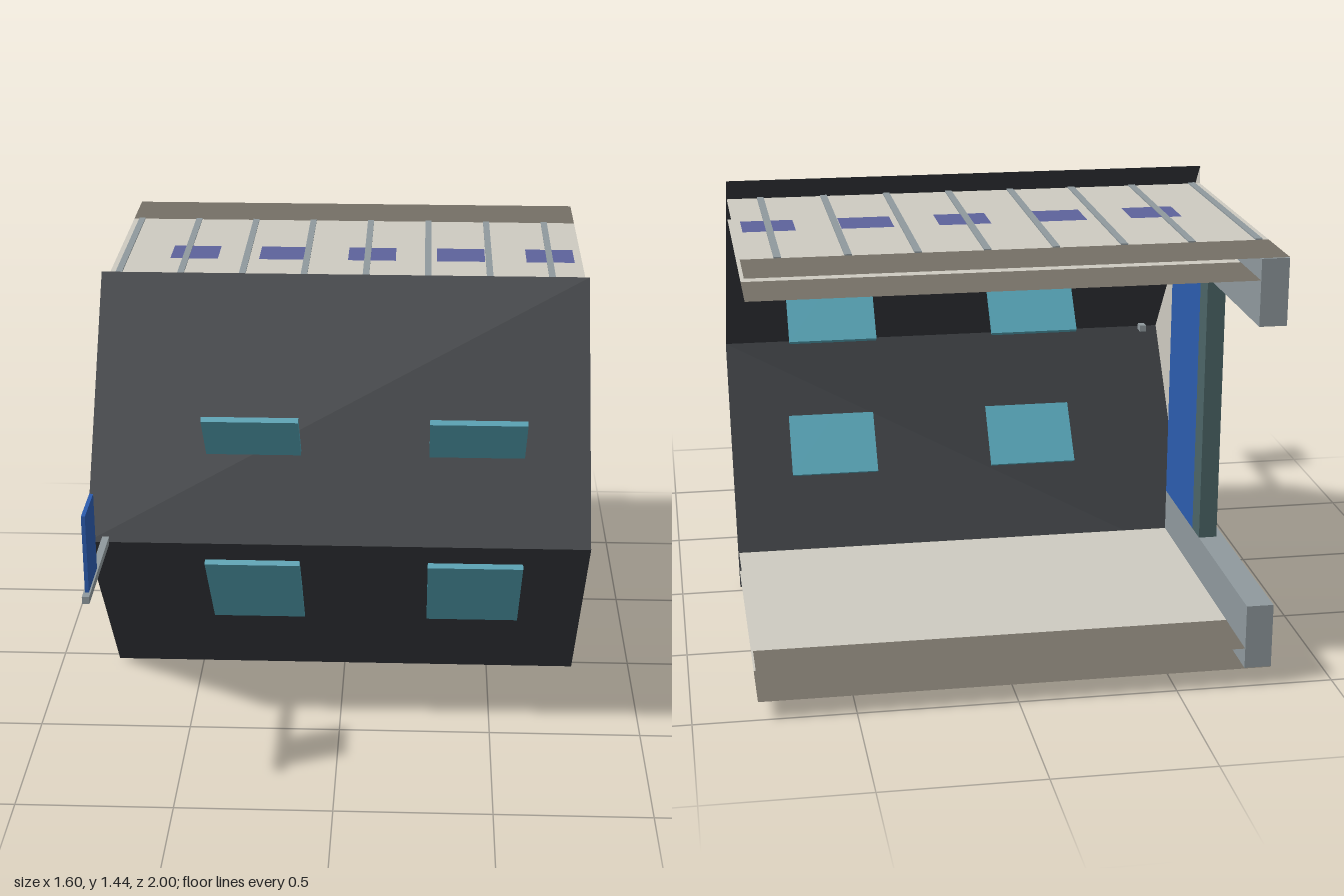
import * as THREE from 'three';

const mat = (color, side = THREE.FrontSide) => new THREE.MeshStandardMaterial({ color, side });
const wallMat = mat(0x34373b, THREE.DoubleSide);
const creamMat = mat(0xcdcac0, THREE.DoubleSide);
const brownMat = mat(0x746f65, THREE.DoubleSide);
const purpleMat = mat(0x5d629b, THREE.DoubleSide);
const steelMat = mat(0x8f999d);
const blueMat = mat(0x2c5cae);
const tealMat = mat(0x52a0b2);
const postMat = mat(0x4c6567);

// Box from minimum and maximum on each axis
function box(name, material, [x0, x1], [y0, y1], [z0, z1]) {
  const mesh = new THREE.Mesh(new THREE.BoxGeometry(x1 - x0, y1 - y0, z1 - z0), material);
  mesh.position.set((x0 + x1) / 2, (y0 + y1) / 2, (z0 + z1) / 2);
  mesh.name = name;
  return mesh;
}

// Thin horizontal sheet at height y
function sheet(name, material, [x0, x1], y, [z0, z1]) {
  const mesh = new THREE.Mesh(new THREE.PlaneGeometry(x1 - x0, z1 - z0).rotateX(-Math.PI / 2), material);
  mesh.position.set((x0 + x1) / 2, y, (z0 + z1) / 2);
  mesh.name = name;
  return mesh;
}

export function createModel() {
  const model = new THREE.Group();
  const halfW = 0.8, midY = 0.72, backZ = 0.03, ridgeZ = 0.585;

  // Both halves mirror each other about mid height
  for (const s of [1, -1]) {
    const half = s > 0 ? 'upper' : 'lower';
    const at = (d) => midY + s * d;
    const span = (a, b) => [at(a), at(b)].sort((p, q) => p - q);

    // Sloping front wall
    const slope = new THREE.Mesh(
      new THREE.PlaneGeometry(halfW * 2, Math.hypot(midY, ridgeZ - backZ)), wallMat);
    slope.position.set(0, at(midY / 2), (backZ + ridgeZ) / 2);
    slope.rotation.x = -s * Math.atan2(ridgeZ - backZ, midY);
    slope.name = half + 'FrontWall';
    model.add(slope);

    // Double deck with brown rear borders
    const deck = new THREE.Group();
    deck.name = half + 'Deck';
    for (const d of [0.66, 0.592]) {
      deck.add(sheet('deckSheet', creamMat, [-halfW, halfW], at(d), [-0.78, backZ]));
      deck.add(sheet('deckBorder', brownMat, [-halfW, halfW], at(d), [-1, -0.78]));
    }
    // Battens and panels on the outer sheet
    for (let i = 0; i < 8; i++) {
      const x = -0.77 + i * 0.2086;
      deck.add(box('batten', steelMat, [x - 0.011, x + 0.011], span(0.656, 0.664), [-0.78, backZ]));
    }
    for (let i = 0; i < 5; i++) {
      const x = -0.532 + i * 0.306;
      deck.add(sheet('panel', purpleMat, [x - 0.082, x + 0.082], at(0.662), [-0.45, -0.305]));
    }
    model.add(deck);

    // Side beam
    model.add(box(half + 'SideBeam', steelMat, [-0.8, -0.715], span(0.45, 0.658), [-1, backZ]));

    // Tilted windows
    for (const x of [-0.278, 0.438]) {
      const win = new THREE.Mesh(new THREE.BoxGeometry(0.305, 0.42, 0.018), tealMat);
      win.position.set(x, s > 0 ? 0.967 : 0.473, 0.405);
      win.rotation.x = 0.7;
      win.name = half + 'Window';
      model.add(win);
    }
  }

  // Triangular gable closing one end
  const triangle = new THREE.Shape([
    new THREE.Vector2(-backZ, 0), new THREE.Vector2(-ridgeZ, midY), new THREE.Vector2(-backZ, midY * 2)]);
  const gable = new THREE.Mesh(new THREE.ShapeGeometry(triangle).rotateY(Math.PI / 2), creamMat);
  gable.position.x = -halfW;
  gable.name = 'gable';
  model.add(gable);

  // Door and post between the beams
  model.add(box('door', blueMat, [-0.775, -0.715], [0.27, 1.178], [-0.335, backZ]));
  model.add(box('doorPost', postMat, [-0.775, -0.715], [0.27, 1.178], [-0.422, -0.335]));

  // Pole with flag at the front
  model.add(box('flagPole', steelMat, [-0.752, -0.73], [0.71, 0.734], [0.54, 1]));
  model.add(box('flag', blueMat, [-0.747, -0.735], [0.734, 0.985], [0.803, 0.97]));

  return model;
}
